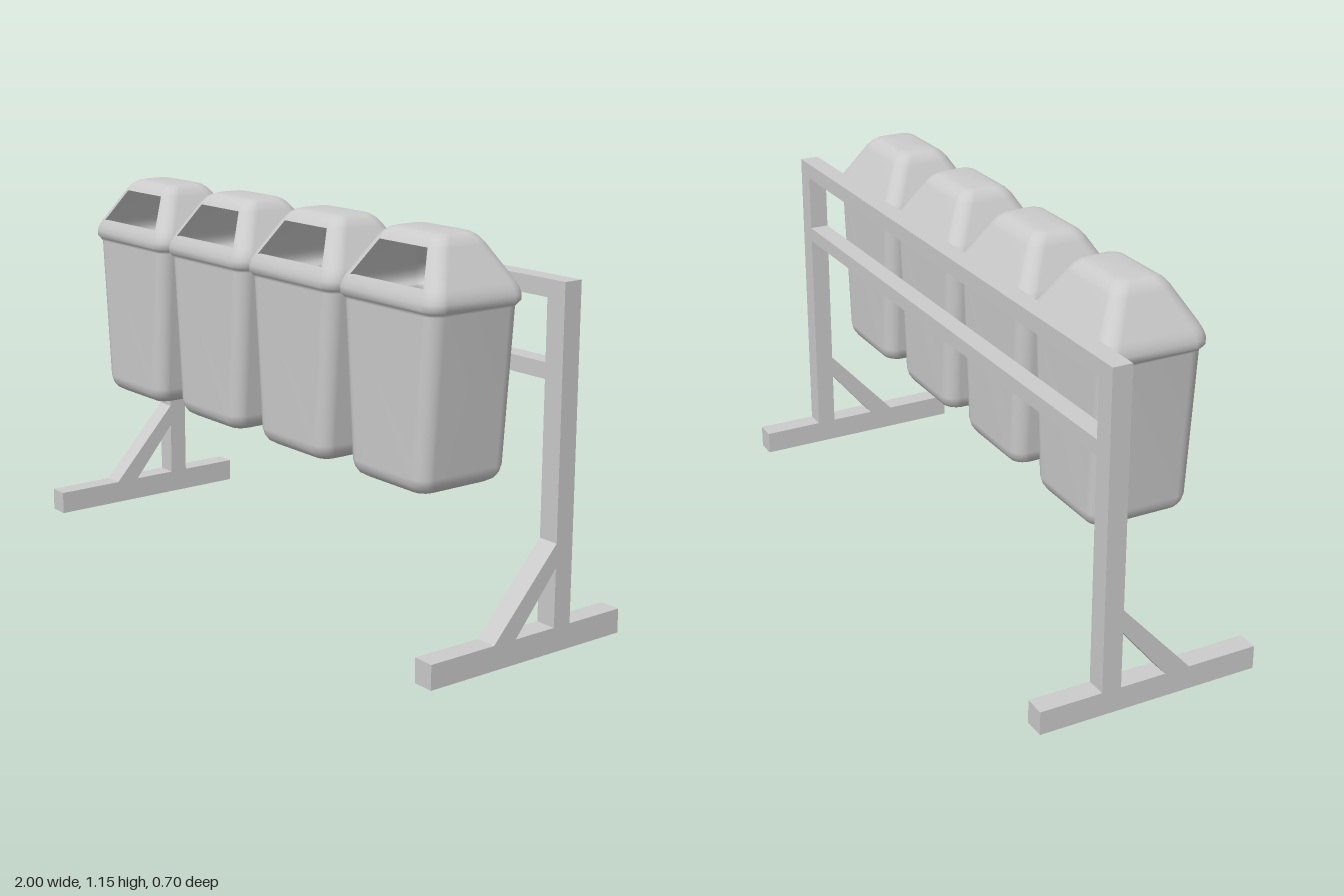
import * as THREE from 'three';

const grey = new THREE.MeshStandardMaterial({ color: 0xcccccc, side: THREE.DoubleSide });
const SEG = 6; // segments per rounded corner
const WALL = 0.012;

// Bin profile, each level: [height, half width, half depth, corner radius]
const BODY = [
  [0.45, 0.112, 0.108, 0.03],
  [0.453, 0.13, 0.126, 0.035],
  [0.463, 0.147, 0.143, 0.04],
  [0.478, 0.157, 0.153, 0.045],
  [0.5, 0.162, 0.158, 0.045],
  [0.95, 0.198, 0.158, 0.045],
  [0.958, 0.204, 0.162, 0.045],
];
const LID = [
  [0.958, 0.204, 0.162, 0.045],
  [0.968, 0.213, 0.17, 0.05],
  [0.985, 0.213, 0.17, 0.05],
  [1.003, 0.208, 0.164, 0.048],
  [1.02, 0.199, 0.155, 0.045], // bottom of the opening
  [1.12, 0.141, 0.096, 0.041], // top of the opening
  [1.128, 0.135, 0.09, 0.04],
  [1.14, 0.126, 0.079, 0.037],
  [1.15, 0.112, 0.064, 0.032],
  [1.155, 0.093, 0.046, 0.025],
];
const HOLE = 4; // lid level where the opening starts

// Rounded rectangle ring at one level
function ring([y, w, d, r]) {
  const pts = [];
  const sx = [1, -1, -1, 1], sz = [1, 1, -1, -1];
  for (let k = 0; k < 4; k++) {
    for (let i = 0; i <= SEG; i++) {
      const a = (k + i / SEG) * Math.PI / 2;
      pts.push([sx[k] * (w - r) + r * Math.cos(a), y, sz[k] * (d - r) + r * Math.sin(a)]);
    }
  }
  return pts;
}

// Skin through all rings; optionally leaves out the front panel, closes one end
function loft(levels, { hole = -1, capBottom = false, capTop = false, inside = false }) {
  const n = 4 * (SEG + 1), pos = [], idx = [];
  const tri = (a, b, c) => (inside ? idx.push(a, c, b) : idx.push(a, b, c));
  levels.forEach((l) => pos.push(...ring(l).flat()));
  for (let i = 0; i < levels.length - 1; i++) {
    for (let j = 0; j < n; j++) {
      if (i === hole && j === SEG) continue;
      const a = i * n + j, b = i * n + (j + 1) % n;
      tri(a, a + n, b + n);
      tri(a, b + n, b);
    }
  }
  const cap = (level, up) => {
    const c = pos.length / 3, base = level * n;
    pos.push(0, levels[level][0], 0);
    for (let j = 0; j < n; j++) {
      const a = base + j, b = base + (j + 1) % n;
      if (up) tri(c, b, a); else tri(c, a, b);
    }
  };
  if (capBottom) cap(0, false);
  if (capTop) cap(levels.length - 1, true);
  const g = new THREE.BufferGeometry();
  g.setAttribute('position', new THREE.Float32BufferAttribute(pos, 3));
  g.setIndex(idx);
  g.computeVertexNormals();
  return g;
}

// Same profile shrunk by the wall thickness
function inner(levels) {
  return levels.map(([y, w, d, r]) => [
    y + (y < 0.6 ? WALL : 0) - (y > 1.135 ? WALL : 0), w - WALL, d - WALL, r - WALL,
  ]);
}

// Thickness of the wall around the opening
function lipGeometry() {
  const corners = [];
  const add = (level, s) => {
    const [y, w, d, r] = LID[level];
    corners.push([s * (w - r), y, d]);
  };
  add(HOLE, -1); add(HOLE, 1); add(HOLE + 1, 1); add(HOLE + 1, -1);
  const pos = [];
  corners.forEach((a, i) => {
    const b = corners[(i + 1) % 4];
    const a2 = [a[0], a[1], a[2] - WALL], b2 = [b[0], b[1], b[2] - WALL];
    pos.push(...a, ...b, ...b2, ...a, ...b2, ...a2);
  });
  const g = new THREE.BufferGeometry();
  g.setAttribute('position', new THREE.Float32BufferAttribute(pos, 3));
  g.computeVertexNormals();
  return g;
}

function mesh(name, geometry, parent) {
  const m = new THREE.Mesh(geometry, grey);
  m.name = name;
  parent.add(m);
  return m;
}

function box(name, parent, [x0, x1], [y0, y1], [z0, z1]) {
  const m = mesh(name, new THREE.BoxGeometry(x1 - x0, y1 - y0, z1 - z0), parent);
  m.position.set((x0 + x1) / 2, (y0 + y1) / 2, (z0 + z1) / 2);
}

export function createModel() {
  const model = new THREE.Group();
  model.name = 'litterBinStand';

  // Stand: a foot, post and diagonal brace on each side
  const frame = new THREE.Group();
  frame.name = 'frame';
  model.add(frame);
  const depth = [-0.155, -0.095];
  const W = 0.065;
  const braceShape = new THREE.Shape([[0.127, 0.072], [-0.095, 0.315], [-0.095, 0.245], [0.048, 0.072]]
    .map(([z, y]) => new THREE.Vector2(z, y)));
  const braceGeo = new THREE.ExtrudeGeometry(braceShape, { depth: W, bevelEnabled: false });
  braceGeo.translate(0, 0, -W / 2).rotateY(-Math.PI / 2);
  for (const [side, s] of [['left', 1], ['right', -1]]) {
    const xs = s > 0 ? [1 - W, 1] : [-1, W - 1];
    box(side + 'Foot', frame, xs, [0, 0.072], [-0.348, 0.348]);
    box(side + 'Post', frame, xs, [0.072, 1.035], depth);
    mesh(side + 'Brace', braceGeo, frame).position.x = s * (1 - W / 2);
  }

  // Two rails between the posts
  box('topRail', frame, [W - 1, 1 - W], [0.985, 1.035], depth);
  box('middleRail', frame, [W - 1, 1 - W], [0.762, 0.808], depth);

  // Four identical bins in a row
  const parts = {
    body: loft(BODY, { capBottom: true }),
    bodyInside: loft(inner(BODY), { capBottom: true, inside: true }),
    lid: loft(LID, { hole: HOLE, capTop: true }),
    lidInside: loft(inner(LID), { hole: HOLE, capTop: true, inside: true }),
    openingLip: lipGeometry(),
  };
  for (let i = 0; i < 4; i++) {
    const bin = new THREE.Group();
    bin.name = 'bin' + (i + 1);
    for (const name in parts) mesh(name, parts[name], bin);
    bin.position.set((i - 1.5) * 0.435, 0, 0.074);
    model.add(bin);
  }
  return model;
}
